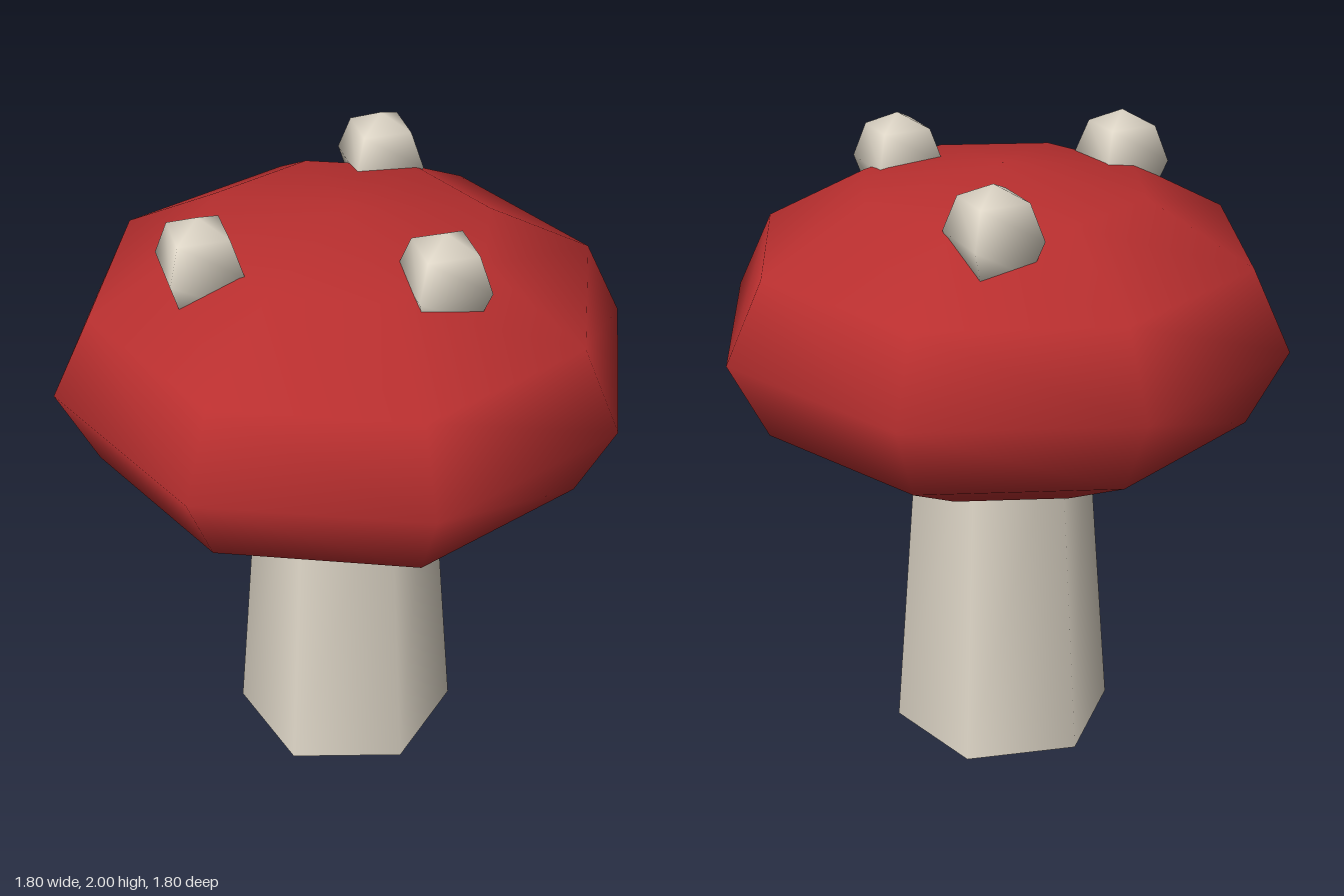
import * as THREE from 'three';

export function createModel() {
  const model = new THREE.Group();
  model.name = 'mushroom';

  const red = new THREE.MeshStandardMaterial({ color: 0xb92f2f });
  red.name = 'cap red';
  const cream = new THREE.MeshStandardMaterial({ color: 0xddd5c6 });
  cream.name = 'cream';

  const add = (name, geometry, material, x, y, z) => {
    const mesh = new THREE.Mesh(geometry, material);
    mesh.name = name;
    mesh.position.set(x, y, z);
    model.add(mesh);
    return mesh;
  };

  // Six-sided stem, tapering up into the cap
  const stemHeight = 1.16;
  add('stem', new THREE.CylinderGeometry(0.27, 0.36, stemHeight, 6), cream, 0, stemHeight / 2, 0);

  // Flattened eight-sided cap
  const cap = add('cap', new THREE.SphereGeometry(0.9, 8, 6), red, 0, 1.42, 0);
  cap.scale.y = 0.55;

  // Raised diamond-shaped spots, half sunk into the cap
  const spotGeometry = new THREE.SphereGeometry(0.152, 4, 4);
  const spots = [[-0.26, 0.388], [0.39, 0.13], [-0.128, -0.457]];
  spots.forEach(([x, z], i) => add(`spot${i + 1}`, spotGeometry, cream, x, 1.848, z));

  return model;
}
